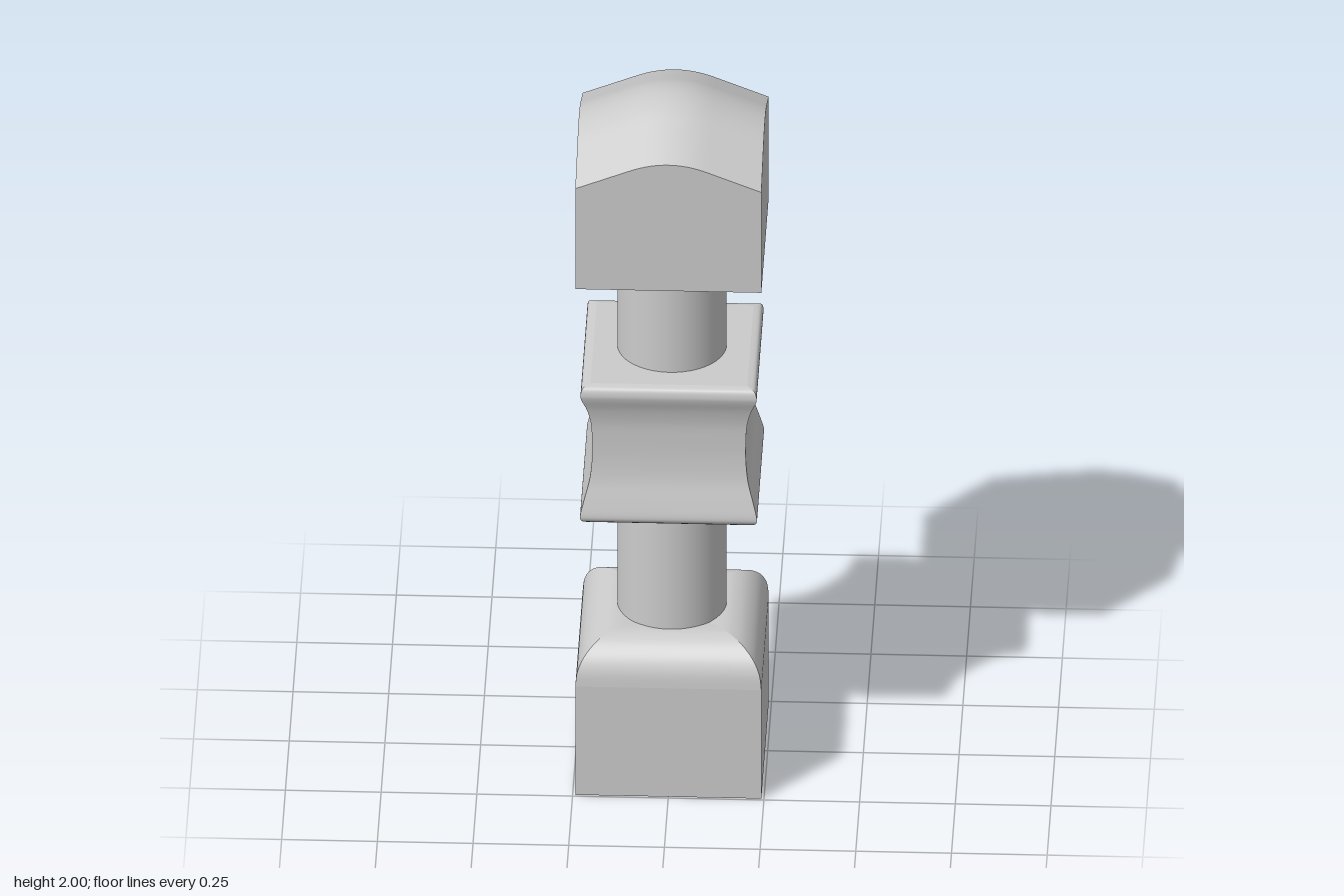
import * as THREE from 'three';

const HALF = 0.243;
const material = new THREE.MeshStandardMaterial({ color: 0xcccccc, side: THREE.DoubleSide });

// Smooth run of profile points [halfWidth, y]
function smooth(points, n = 32) {
  const curve = new THREE.SplineCurve(points.map(([h, y]) => new THREE.Vector2(h, y)));
  return curve.getPoints(n).map((p) => [p.x, p.y]);
}

// Square block with mitred corners; each run is smooth, edges between runs stay sharp
function squareLoft(runs) {
  const pos = [], index = [];
  for (let side = 0; side < 4; side++) {
    const c = Math.round(Math.cos(side * Math.PI / 2));
    const s = Math.round(Math.sin(side * Math.PI / 2));
    for (const run of runs) {
      const start = pos.length / 3;
      run.forEach(([h, y], i) => {
        for (const x of [-h, h]) pos.push(x * c + h * s, y, h * c - x * s);
        if (i === 0) return;
        const a = start + (i - 1) * 2;
        index.push(a, a + 1, a + 3, a, a + 3, a + 2);
      });
    }
  }
  const geo = new THREE.BufferGeometry();
  geo.setAttribute('position', new THREE.Float32BufferAttribute(pos, 3));
  geo.setIndex(index);
  geo.computeVertexNormals();
  return geo;
}

// Drop of the crown away from its ridge: rounded middle, straight shoulders
function drop(t) {
  const d = Math.abs(t), r = 0.1, a = 2;
  return d < r ? a * d * d : a * r * r + 2 * a * r * (d - r);
}

export function createModel() {
  const group = new THREE.Group();
  const add = (name, geo) => {
    const mesh = new THREE.Mesh(geo, material);
    mesh.name = name;
    group.add(mesh);
  };

  // Base block with rounded shoulders
  add('base', squareLoft([
    [[0, 0], [HALF, 0]],
    [[HALF, 0], [HALF, 0.33]],
    smooth([[HALF, 0.33], [0.238, 0.37], [0.222, 0.405], [0.195, 0.432],
      [0.165, 0.446], [0.135, 0.45], [0.08, 0.447], [0, 0.445]]),
  ]));

  // Round necks
  for (const [name, y0, y1] of [['lowerNeck', 0.44, 0.815], ['upperNeck', 1.232, 1.54]]) {
    const neck = new THREE.CylinderGeometry(0.143, 0.143, y1 - y0, 64);
    neck.translate(0, (y0 + y1) / 2, 0);
    add(name, neck);
  }

  // Waisted middle block
  add('middleBlock', squareLoft([
    [[0, 0.815], [0.215, 0.815]],
    smooth([[0.215, 0.815], [0.227, 0.825], [0.231, 0.842], [0.221, 0.885], [0.207, 0.94],
      [0.201, 1], [0.201, 1.06], [0.204, 1.11], [0.214, 1.155], [0.227, 1.19],
      [0.23, 1.208], [0.224, 1.226], [0.205, 1.232]], 60),
    [[0.205, 1.232], [0, 1.232]],
  ]));

  // Head block with a crown curved in both directions
  const head = new THREE.BoxGeometry(HALF * 2, 1, HALF * 2, 32, 1, 32);
  const p = head.attributes.position;
  for (let i = 0; i < p.count; i++) {
    p.setY(i, p.getY(i) > 0 ? 2 - drop(p.getX(i)) - drop(p.getZ(i)) : 1.54);
  }
  head.computeVertexNormals();
  add('head', head);

  return group;
}
